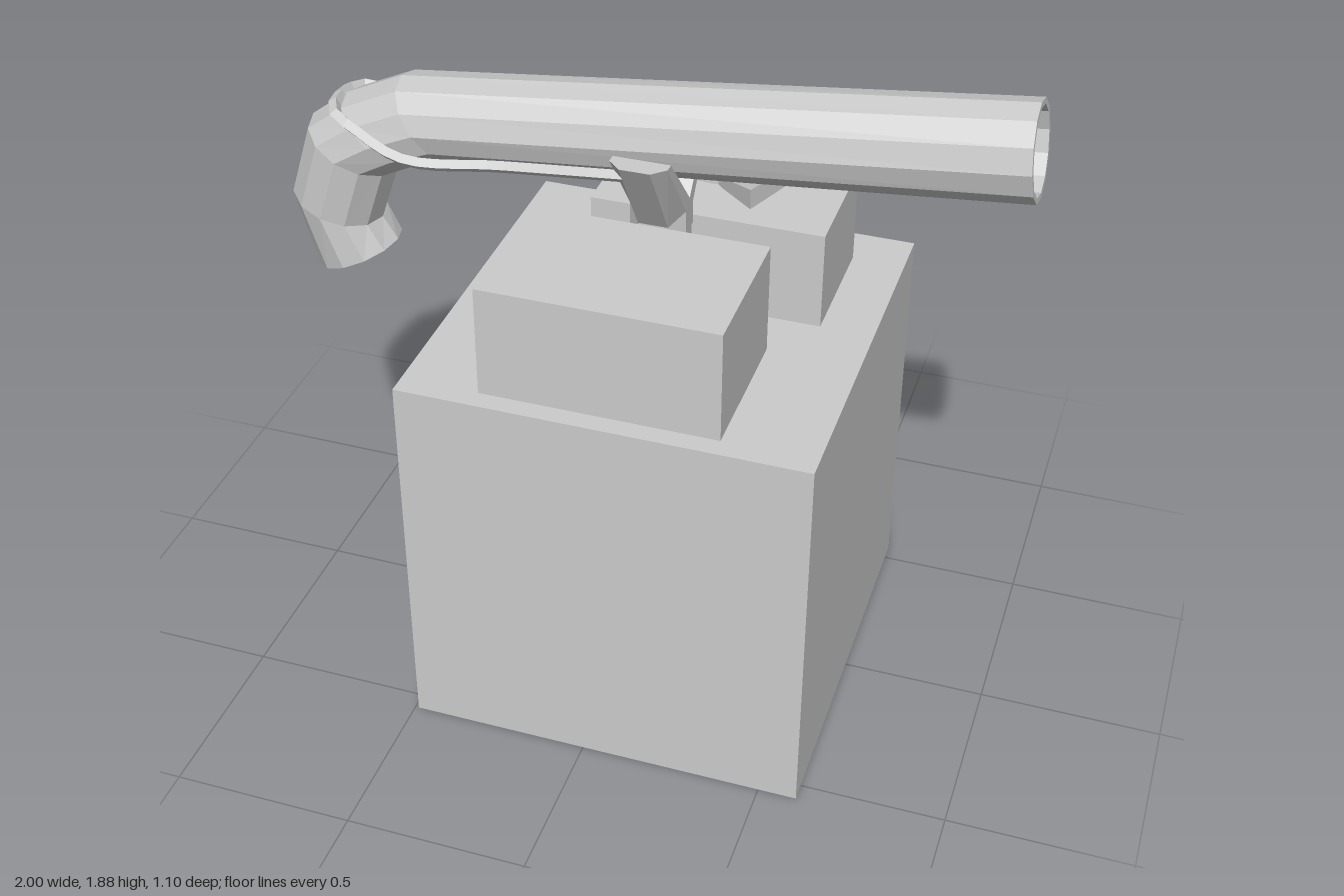
import * as THREE from 'three';

const mat = new THREE.MeshStandardMaterial({ color: 0xcccccc, flatShading: true });
const V = (x, y, z) => new THREE.Vector3(x, y, z);

// Skin a list of closed rings (counter-clockwise about the travel direction), capping both ends
function loft(rings) {
  const pos = [];
  const tri = (...pts) => pts.forEach((p) => pos.push(p.x, p.y, p.z));
  const n = rings[0].length;
  for (let i = 0; i < rings.length - 1; i++) {
    for (let j = 0; j < n; j++) {
      const k = (j + 1) % n;
      const a = rings[i][j], b = rings[i][k], c = rings[i + 1][k], d = rings[i + 1][j];
      tri(a, b, c);
      tri(a, c, d);
    }
  }
  const cap = (ring, flip) => {
    const mid = ring.reduce((s, p) => s.add(p), V(0, 0, 0)).divideScalar(n);
    for (let j = 0; j < n; j++) {
      const k = (j + 1) % n;
      if (flip) tri(mid, ring[k], ring[j]);
      else tri(mid, ring[j], ring[k]);
    }
  };
  cap(rings[0], true);
  cap(rings[rings.length - 1], false);
  const g = new THREE.BufferGeometry();
  g.setAttribute('position', new THREE.Float32BufferAttribute(pos, 3));
  g.computeVertexNormals();
  return g;
}

export function createModel() {
  const model = new THREE.Group();
  const add = (name, geometry, parent = model) => {
    const mesh = new THREE.Mesh(geometry, mat);
    mesh.name = name;
    parent.add(mesh);
    return mesh;
  };

  // Pedestal and the blocks on it, given by their limits
  const block = (name, x0, x1, y0, y1, z0, z1) =>
    add(name, new THREE.BoxGeometry(x1 - x0, y1 - y0, z1 - z0))
      .position.set((x0 + x1) / 2, (y0 + y1) / 2, (z0 + z1) / 2);
  block('pedestal', -0.49, 0.605, 0, 1.1, -0.55, 0.55);
  block('frontBlock', -0.28, 0.355, 1.1, 1.41, 0.08, 0.495);
  block('backBlock', -0.175, 0.46, 1.1, 1.375, -0.425, -0.065);
  block('lowBlock', -0.4, -0.185, 1.1, 1.2, -0.35, 0.05);

  // Forked post: an octagonal stem with two half-octagon arms
  const post = new THREE.Group();
  post.name = 'forkedPost';
  post.position.set(0.045, 0, 0.01);
  model.add(post);
  const stem = add('stem', new THREE.CylinderGeometry(0.078, 0.078, 0.31, 8), post);
  stem.rotation.y = Math.PI / 8;
  stem.position.y = 1.255;
  const half = [[-0.075, 0], [-0.075, 0.03], [-0.04, 0.07], [0.04, 0.07], [0.075, 0.03], [0.075, 0]];
  const armGeometry = loft([
    half.map(([x, z]) => V(x, 1.38, z)),
    half.map(([x, z]) => V(x, 1.47 - 0.8 * z, z)),
    half.map(([x, z]) => V(x, 1.65, 0.16 + 0.85 * z)),
  ]);
  for (const turn of [0, Math.PI]) add('forkArm', armGeometry, post).rotation.y = turn;

  // Barrel: sections run from the curled grip to the muzzle, then back inside the bore
  // [outer x, outer y, inner x, inner y, half width in z, bore scale]
  const sections = [
    [-0.94, 1.085, -0.715, 1.175, 0.12, 1],
    [-1.0, 1.32, -0.755, 1.24, 0.13, 1],
    [-0.935, 1.525, -0.7, 1.4, 0.135, 1],
    [-0.83, 1.605, -0.615, 1.44, 0.135, 1],
    [-0.67, 1.68, -0.52, 1.475, 0.13, 1],
    [0.97, 1.875, 0.995, 1.62, 0.128, 1],
    [0.97, 1.875, 0.995, 1.62, 0.128, 0.88],
    [-0.67, 1.68, -0.52, 1.475, 0.13, 0.88],
  ];
  const sides = 12;
  add('barrelAndGrip', loft(sections.map(([ox, oy, ix, iy, w, s]) =>
    Array.from({ length: sides }, (_, j) => {
      const a = (j / sides) * Math.PI * 2, c = Math.cos(a) * s / 2;
      return V((ox + ix) / 2 + (ox - ix) * c, (oy + iy) / 2 + (oy - iy) * c,
        -0.008 + w * s * Math.sin(a));
    }))));

  // Strap: from one fork arm, over the back of the barrel, to the other arm
  const side = [[0, 1.595, 0.165], [-0.34, 1.55, 0.145], [-0.6, 1.53, 0.158],
    [-0.74, 1.565, 0.12], [-0.83, 1.595, 0.075]];
  const path = new THREE.CatmullRomCurve3([
    ...side.map(([x, y, z]) => V(x, y, z)),
    ...side.slice().reverse().map(([x, y, z]) => V(x, y, -z)),
  ]);
  add('strap', new THREE.TubeGeometry(path, 40, 0.017, 4));

  // Bow-shaped piece on the back block: thin at the waist, raised at both ends
  const bowRing = (ax, az, bx, bz, lo, hi) => [V(ax, lo, az), V(ax, hi, az), V(bx, hi, bz), V(bx, lo, bz)];
  add('bowPiece', loft([
    bowRing(0.03, -0.42, -0.05, -0.215, 1.398, 1.455),
    bowRing(0.155, -0.285, 0.125, -0.235, 1.372, 1.4),
    bowRing(0.33, -0.305, 0.25, -0.1, 1.398, 1.455),
  ]));

  return model;
}
